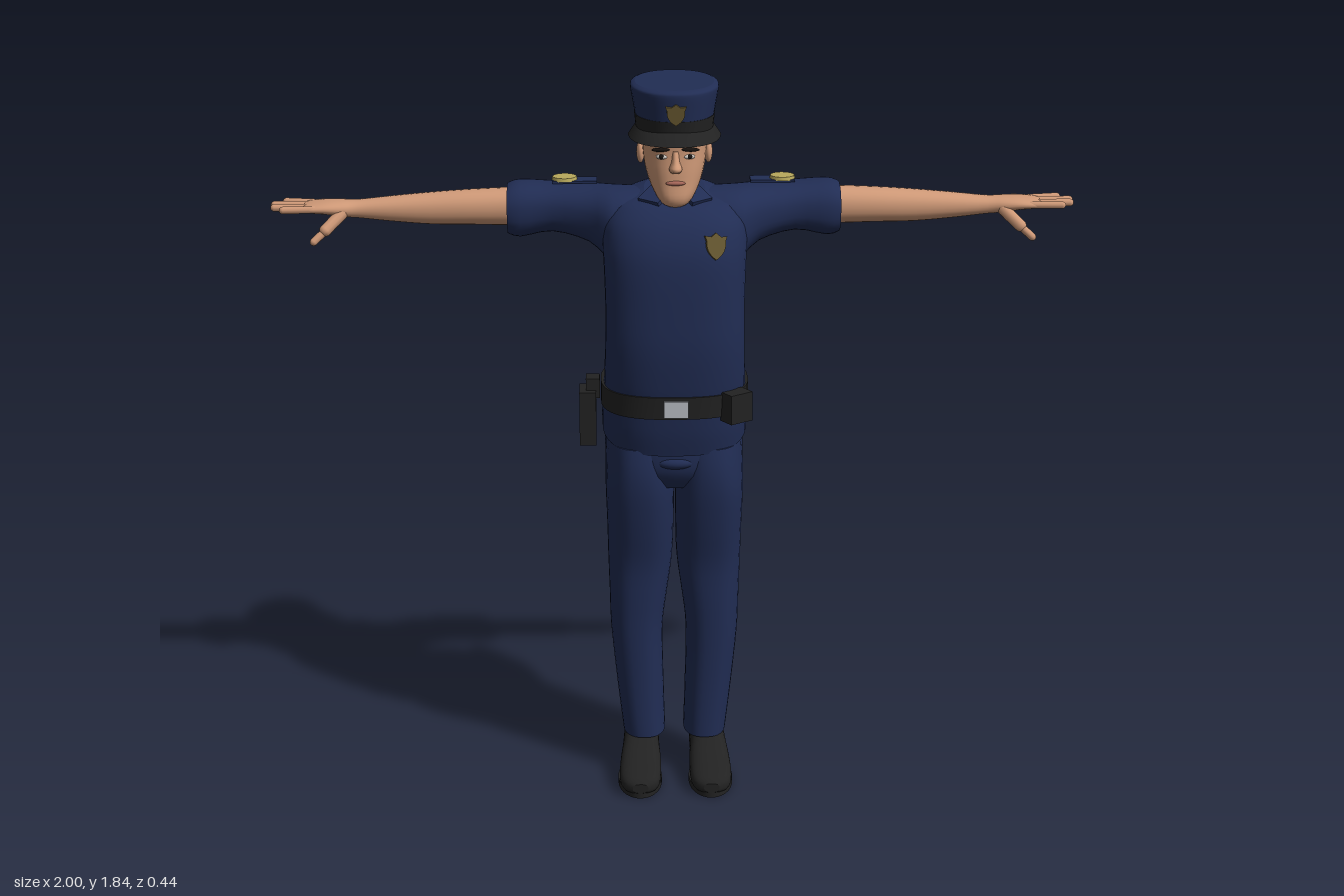
import * as THREE from 'three';

const paint = (name, color, side = THREE.FrontSide) => {
  const m = new THREE.MeshStandardMaterial({ color, side });
  m.name = name;
  return m;
};

// Smooth curve through four numbers, between a and b
function blend(p, a, b, q, t) {
  const quadratic = 2 * p - 5 * a + 4 * b - q;
  const cubic = 3 * (a - b) + q - p;
  return a + 0.5 * t * (b - p + t * (quadratic + t * cubic));
}

// Smoothly refine rows of section numbers
function refine(rows, sub) {
  const out = [];
  for (let i = 0; i < rows.length - 1; i++) {
    const p = rows[Math.max(i - 1, 0)], a = rows[i], b = rows[i + 1], q = rows[Math.min(i + 2, rows.length - 1)];
    for (let s = 0; s < sub; s++) out.push(a.map((v, k) => blend(p[k], v, b[k], q[k], s / sub)));
  }
  out.push(rows[rows.length - 1]);
  return out;
}

// Capped skin over closed sections; place(row, c, s) gives a point on a section
function loft(rows, place, sub = 3, n = 2.4, seg = 32) {
  const pos = [], idx = [];
  const bend = v => Math.sign(v) * Math.pow(Math.abs(v), 2 / n);
  const rings = refine(rows, sub).map(row => Array.from({ length: seg }, (_, j) => {
    const a = j / seg * Math.PI * 2;
    return place(row, bend(Math.cos(a)), bend(Math.sin(a)));
  }));
  rings.forEach(r => r.forEach(p => pos.push(...p)));
  for (let i = 0; i < rings.length - 1; i++) for (let j = 0; j < seg; j++) {
    const a = i * seg + j, b = i * seg + (j + 1) % seg;
    idx.push(a, b, a + seg, b, b + seg, a + seg);
  }
  // End caps have their own corners so that rims stay sharp
  [rings[0], rings[rings.length - 1]].forEach((r, e) => {
    const o = pos.length / 3;
    r.forEach(p => pos.push(...p));
    pos.push(...[0, 1, 2].map(k => r.reduce((sum, p) => sum + p[k], 0) / seg));
    for (let j = 0; j < seg; j++) {
      const k = (j + 1) % seg;
      idx.push(o + seg, o + (e ? j : k), o + (e ? k : j));
    }
  });
  // Turn the faces outward
  const v = k => new THREE.Vector3().fromArray(pos, idx[k] * 3);
  let volume = 0;
  for (let k = 0; k < idx.length; k += 3) volume += v(k).dot(v(k + 1).cross(v(k + 2)));
  if (volume < 0) idx.reverse();
  const g = new THREE.BufferGeometry();
  g.setAttribute('position', new THREE.Float32BufferAttribute(pos, 3));
  g.setIndex(idx);
  g.computeVertexNormals();
  return g;
}

// Upright section: [y, centre x, half width, front z, back z, tilt]
const upright = ([y, x, w, f, b, tilt = 0], c, s) => {
  const dz = s * (f - b) / 2;
  return [x + w * c, y + tilt * dz, (f + b) / 2 + dz];
};
// Sideways section: [x, top y, bottom y, front z, back z]
const sideways = ([x, t, b, f, k], c, s) => [x, (t + b) / 2 + s * (t - b) / 2, (f + k) / 2 + c * (f - k) / 2];
// Lengthwise section: [z, centre x, half width, top y, bottom y]
const lengthwise = ([z, x, w, t, b], c, s) => [x + w * c, (t + b) / 2 + s * (t - b) / 2, z];

export function createModel() {
  const model = new THREE.Group();
  model.name = 'officer';
  const navy = paint('navy cloth', 0x212d54), skin = paint('skin', 0xd09a78);
  const black = paint('black leather', 0x222222, THREE.DoubleSide), hairMat = paint('dark hair', 0x17120f);
  const gold = paint('pale gold', 0xb8a95c), bronze = paint('bronze', 0x665730);
  const steel = paint('steel', 0xb9bdc4), lip = paint('lips', 0xa8685a), white = paint('eye white', 0xcfc8c0);

  const add = (name, geo, mat, p = [0, 0, 0], r = [0, 0, 0], s = [1, 1, 1], parent = model) => {
    const m = new THREE.Mesh(geo, mat);
    m.name = name;
    m.position.set(...p);
    m.rotation.set(...r);
    m.scale.set(...s);
    parent.add(m);
    return m;
  };
  const ball = new THREE.SphereGeometry(1, 20, 14);
  const box = (w, h, d) => new THREE.BoxGeometry(w, h, d);
  const limb = (name, a, b, r, mat, parent) => {
    const p = new THREE.Vector3(...a), q = new THREE.Vector3(...b), d = q.clone().sub(p);
    const geo = new THREE.CapsuleGeometry(r, d.length(), 5, 10);
    const m = add(name, geo, mat, p.add(q).multiplyScalar(0.5).toArray(), [0, 0, 0], [1, 1, 1], parent);
    m.quaternion.setFromUnitVectors(new THREE.Vector3(0, 1, 0), d.normalize());
  };

  // Shirt, hips and belt
  add('shirt', loft([
    [0.96, 0, 0.182, 0.137, -0.175, -0.27], [1.0, 0, 0.182, 0.15, -0.168, -0.15], [1.05, 0, 0.178, 0.16, -0.15, 0],
    [1.1, 0, 0.176, 0.17, -0.1, 0], [1.2, 0, 0.173, 0.183, -0.058, 0], [1.3, 0, 0.172, 0.185, -0.05, 0],
    [1.4, 0, 0.175, 0.183, -0.065, 0], [1.46, 0, 0.178, 0.173, -0.1, 0], [1.51, 0, 0.172, 0.15, -0.118, 0],
    [1.55, 0, 0.14, 0.118, -0.112, -0.05], [1.572, 0, 0.075, 0.095, -0.065, -0.2]], upright, 4, 2.6, 40), navy);
  add('hips', loft([[1.0, 0, 0.165, 0.125, -0.165], [0.95, 0, 0.174, 0.13, -0.19], [0.9, 0, 0.176, 0.132, -0.207],
    [0.86, 0, 0.168, 0.125, -0.18], [0.82, 0, 0.14, 0.1, -0.11]], upright), navy);
  add('seatFold', ball, navy, [0, 0.855, -0.155], [0.35, 0, 0], [0.05, 0.05, 0.066]);
  add('flyFold', ball, navy, [0, 0.895, 0.115], [0, 0, 0], [0.05, 0.018, 0.025]);
  add('belt', loft([[1.025, 0, 0.185, 0.168, -0.168], [1.083, 0, 0.185, 0.172, -0.16]], upright, 1, 2.6, 40), black);
  add('buckle', box(0.06, 0.042, 0.009), steel, [0, 1.053, 0.173]);
  add('frontPouch', box(0.065, 0.075, 0.045), black, [0.15, 1.052, 0.145], [0, 0.6, 0]);
  add('sidePouch', box(0.055, 0.07, 0.04), black, [0.14, 1.055, -0.145], [0, 2.5, 0]);
  add('backPouch', box(0.055, 0.065, 0.04), black, [-0.1, 1.055, -0.165], [0, 0.4, 0]);
  add('holster', box(0.042, 0.14, 0.075), black, [-0.218, 0.99, 0.02]);
  add('holsterGrip', box(0.035, 0.05, 0.045), black, [-0.205, 1.065, 0.015]);

  // Limbs, built on the left and mirrored to the right
  for (const side of [1, -1]) {
    const tag = side > 0 ? 'left' : 'right';
    const flip = rows => rows.map(r => [r[0] * side, ...r.slice(1)]);
    const flipX = rows => rows.map(r => [r[0], r[1] * side, ...r.slice(2)]);
    const P = (x, y, z) => [x * side, y, z];

    add(tag + 'TrouserLeg', loft(flipX([
      [0.93, 0.087, 0.085, 0.128, -0.19], [0.87, 0.088, 0.087, 0.135, -0.17], [0.8, 0.088, 0.087, 0.13, -0.105],
      [0.7, 0.087, 0.085, 0.11, -0.1], [0.6, 0.088, 0.082, 0.087, -0.1], [0.5, 0.093, 0.074, 0.08, -0.1],
      [0.4, 0.097, 0.067, 0.075, -0.105], [0.25, 0.089, 0.061, 0.07, -0.102], [0.11, 0.079, 0.055, 0.07, -0.1]]), upright), navy);
    add(tag + 'Shoe', loft(flipX([
      [-0.1, 0.085, 0.028, 0.075, 0.02], [-0.09, 0.085, 0.042, 0.1, 0.006], [-0.03, 0.086, 0.046, 0.125, 0.008],
      [0.04, 0.088, 0.048, 0.12, 0.01], [0.09, 0.09, 0.053, 0.088, 0.006], [0.15, 0.092, 0.053, 0.065, 0.005],
      [0.185, 0.092, 0.043, 0.053, 0.008], [0.2, 0.092, 0.02, 0.04, 0.015]]), lengthwise, 3, 2.6), black);
    add(tag + 'Heel', box(0.082, 0.022, 0.085), black, P(0.086, 0.011, -0.055));
    add(tag + 'Sole', new THREE.CylinderGeometry(1, 1, 0.016, 28), black, P(0.092, 0.008, 0.1), [0, 0, 0], [0.057, 1, 0.1]);

    add(tag + 'Sleeve', loft(flip([
      [0.07, 1.57, 1.42, 0.08, -0.1], [0.15, 1.572, 1.39, 0.09, -0.12], [0.21, 1.57, 1.43, 0.045, -0.135],
      [0.3, 1.57, 1.45, 0.01, -0.145], [0.38, 1.574, 1.436, 0.01, -0.15], [0.412, 1.565, 1.445, 0.004, -0.143]]), sideways), navy);
    add(tag + 'Arm', loft(flip([
      [0.38, 1.557, 1.462, -0.02, -0.118], [0.5, 1.552, 1.465, -0.022, -0.115], [0.6, 1.545, 1.466, -0.028, -0.112],
      [0.7, 1.536, 1.474, -0.035, -0.106], [0.78, 1.528, 1.483, -0.04, -0.1], [0.82, 1.528, 1.487, -0.032, -0.108],
      [0.86, 1.527, 1.494, -0.026, -0.117], [0.9, 1.522, 1.498, -0.028, -0.12], [0.915, 1.518, 1.502, -0.035, -0.115]]), sideways, 3, 2.2, 24), skin);
    const hand = new THREE.Group();
    hand.name = tag + 'Fingers';
    model.add(hand);
    [[-0.038, -0.034, 0.965], [-0.061, -0.06, 0.989], [-0.085, -0.09, 0.991], [-0.108, -0.122, 0.965]].forEach(([z0, z1, x], i) => {
      limb('finger' + (i + 1), P(0.89, 1.511, z0), P(x, 1.511, z1), 0.0095, skin, hand);
    });
    limb('thumbBase', P(0.82, 1.5, -0.045), P(0.86, 1.465, -0.012), 0.015, skin, hand);
    limb('thumbTip', P(0.855, 1.468, -0.015), P(0.888, 1.44, 0.002), 0.01, skin, hand);

    // Shoulder ornaments and collar wing
    add(tag + 'ShoulderStrap', box(0.11, 0.006, 0.05), navy, P(0.245, 1.574, -0.07));
    add(tag + 'ShoulderBadge', new THREE.CylinderGeometry(0.03, 0.032, 0.009, 12), gold, P(0.27, 1.58, -0.07));
    add(tag + 'Collar', box(0.06, 0.012, 0.055), navy, P(0.05, 1.567, 0.068), [0.5, side * 0.6, -side * 0.25]);

    // Face halves
    add(tag + 'Ear', ball, skin, P(0.083, 1.665, 0.012), [0, 0, 0], [0.01, 0.028, 0.017]);
    add(tag + 'Brow', ball, hairMat, P(0.036, 1.694, 0.12), [0, side * 0.3, -side * 0.08], [0.023, 0.005, 0.006]);
    add(tag + 'Eye', ball, white, P(0.034, 1.676, 0.117), [0, side * 0.3, 0], [0.014, 0.006, 0.006]);
    add(tag + 'Pupil', ball, hairMat, P(0.034, 1.677, 0.121), [0, 0, 0], [0.006, 0.006, 0.004]);
  }

  // Neck, head and hair
  add('neck', loft([[1.53, 0, 0.062, 0.085, -0.055], [1.58, 0, 0.054, 0.075, -0.05], [1.63, 0, 0.054, 0.07, -0.055]], upright), skin);
  add('head', loft([[1.55, 0, 0.02, 0.112, 0.06], [1.557, 0, 0.034, 0.122, 0.03], [1.575, 0, 0.048, 0.128, -0.005],
    [1.605, 0, 0.063, 0.125, -0.045], [1.64, 0, 0.073, 0.124, -0.072], [1.68, 0, 0.078, 0.122, -0.082],
    [1.72, 0, 0.08, 0.125, -0.085], [1.755, 0, 0.08, 0.122, -0.085]], upright), skin);
  add('nose', loft([[1.69, 0, 0.008, 0.126, 0.1], [1.665, 0, 0.01, 0.14, 0.1], [1.648, 0, 0.016, 0.152, 0.1],
    [1.638, 0, 0.012, 0.136, 0.1]], upright, 3, 2, 16), skin);
  add('mouth', ball, lip, [0, 1.612, 0.123], [0, 0, 0], [0.024, 0.006, 0.007]);
  add('hair', loft([[1.605, 0, 0.045, -0.025, -0.072], [1.63, 0, 0.068, -0.012, -0.084], [1.66, 0, 0.08, 0.01, -0.093],
    [1.69, 0, 0.085, 0.045, -0.096], [1.72, 0, 0.086, 0.075, -0.098], [1.755, 0, 0.087, 0.08, -0.098]], upright), hairMat);

  // Cap
  add('capBand', loft([[1.728, 0, 0.094, 0.143, -0.108], [1.767, 0, 0.098, 0.149, -0.114]], upright, 1, 2.2, 40), black);
  add('capCrown', loft([[1.762, 0, 0.096, 0.147, -0.112], [1.79, 0, 0.101, 0.151, -0.118], [1.825, 0, 0.107, 0.156, -0.129],
    [1.836, 0, 0.106, 0.153, -0.127], [1.841, 0, 0.096, 0.138, -0.112]], upright, 3, 2.2, 40), navy);
  const visor = new THREE.PlaneGeometry(2, 1, 32, 4), vp = visor.attributes.position;
  for (let i = 0; i < vp.count; i++) {
    const a = vp.getX(i) * Math.PI / 2, t = vp.getY(i) + 0.5;
    const y = 1.744 - 0.022 * t - 0.012 * t * Math.sin(a) ** 2;
    vp.setXYZ(i, (0.09 + 0.023 * t) * Math.sin(a), y, 0.01 + (0.12 + 0.09 * t) * Math.cos(a));
  }
  visor.computeVertexNormals();
  add('capVisor', visor, black);

  // Shield badges
  const shield = new THREE.Shape();
  shield.moveTo(0, -0.034);
  shield.quadraticCurveTo(0.027, -0.016, 0.024, 0.012);
  [[0.028, 0.024], [0.012, 0.022], [0, 0.032], [-0.012, 0.022], [-0.028, 0.024], [-0.024, 0.012]].forEach(p => shield.lineTo(...p));
  shield.quadraticCurveTo(-0.027, -0.016, 0, -0.034);
  const badge = new THREE.ExtrudeGeometry(shield, { depth: 0.009, bevelEnabled: false });
  add('chestBadge', badge, bronze, [0.095, 1.465, 0.16], [-0.35, 0.25, 0]);
  add('capBadge', badge, bronze, [0, 1.787, 0.148], [0.1, 0, 0], [0.9, 0.8, 1]);
  return model;
}
